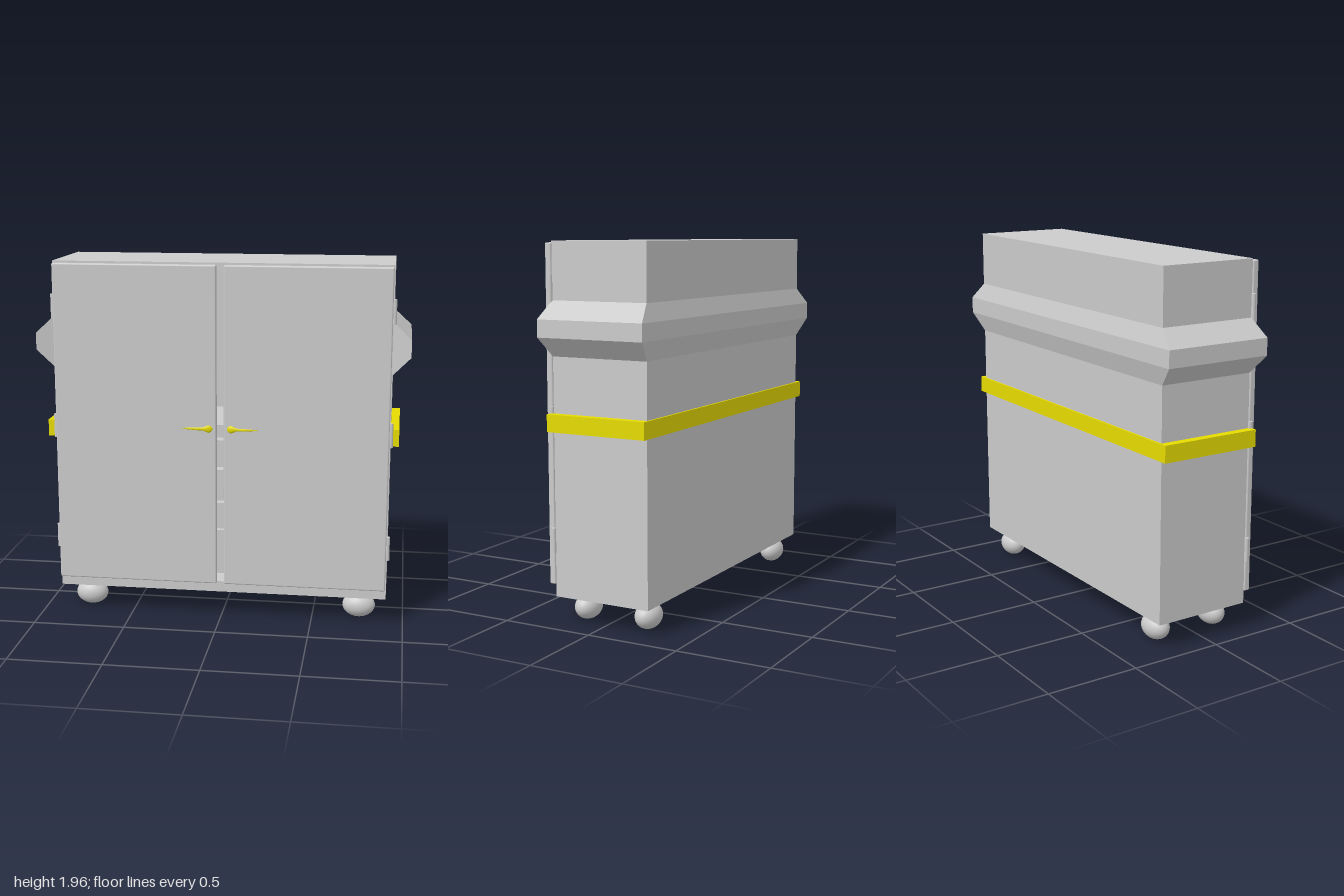
import * as THREE from 'three';
import { RoundedBoxGeometry } from 'three/addons/geometries/RoundedBoxGeometry.js';

const grey = new THREE.MeshStandardMaterial({ color: 0xcccccc });
const thin = new THREE.MeshStandardMaterial({ color: 0xcccccc, side: THREE.DoubleSide });
const yellow = new THREE.MeshStandardMaterial({ color: 0xe6dc00 });

const W = 0.905, BOTTOM = 0.14, TOP = 1.955, BACK = -0.29, FRONT = 0.252;

export function createModel() {
  const model = new THREE.Group();
  const add = (name, geometry, material = grey) => {
    const mesh = new THREE.Mesh(geometry, material);
    mesh.name = name;
    model.add(mesh);
    return mesh;
  };
  // Box given by its lower and upper corners
  const box = (name, x0, x1, y0, y1, z0, z1, material) => {
    const mesh = add(name, new THREE.BoxGeometry(x1 - x0, y1 - y0, z1 - z0), material);
    mesh.position.set((x0 + x1) / 2, (y0 + y1) / 2, (z0 + z1) / 2);
    return mesh;
  };
  const outline = pts => pts.map(([x, y]) => new THREE.Vector2(x, y));
  const rect = (x, y0, y1) => outline([[-x, y0], [x, y0], [x, y1], [-x, y1]]);

  // Hollow case, open at the front
  const frame = new THREE.Shape(rect(W, BOTTOM, TOP));
  frame.holes.push(new THREE.Path(rect(0.87, 0.2, 1.87)));
  const caseGeometry = new THREE.ExtrudeGeometry(frame, { depth: FRONT - BACK, bevelEnabled: false });
  add('case', caseGeometry.translate(0, 0, BACK));
  box('backPanel', -0.87, 0.87, 0.2, 1.87, BACK, -0.26);

  // Bulge running round the sides and back
  add('bulge', bulgeGeometry(), thin);

  // Shelf and drawers behind the doors
  box('shelf', -0.87, 0.87, 1.01, 1.08, -0.26, 0.22);
  [[0.84, 0.99], [0.65, 0.807], [0.49, 0.62], [0.23, 0.465]].forEach(([y0, y1]) =>
    box('drawer', -0.86, 0.86, y0, y1, -0.24, 0.2));
  [0.807, 0.62, 0.465].forEach(y =>
    box('drawerRail', -0.87, 0.87, y + 0.003, y + 0.022, -0.26, 0.22));

  // Trim band, a U shape seen from above
  const band = new THREE.Shape(outline([
    [-0.95, -0.265], [-0.95, 0.3], [0.95, 0.3], [0.95, -0.265],
    [0.9, -0.265], [0.9, 0.285], [-0.9, 0.285], [-0.9, -0.265],
  ]));
  const bandGeometry = new THREE.ExtrudeGeometry(band, { depth: 0.09, bevelEnabled: false });
  add('trimBand', bandGeometry.rotateX(-Math.PI / 2).translate(0, 1.002, 0), yellow);

  for (const s of [-1, 1]) {
    // Doors
    add('door', new RoundedBoxGeometry(0.88, 1.745, 0.035, 3, 0.008))
      .position.set(s * 0.46, 1.073, 0.279);

    // Hinges
    for (const y of [0.435, 1.06, 1.715])
      add('hinge', new THREE.CylinderGeometry(0.0125, 0.0125, 0.13, 16)).position.set(s * 0.906, y, 0.262);

    // Egg-shaped feet
    for (const z of [0.15, -0.21]) {
      const foot = add('foot', new THREE.SphereGeometry(1, 32, 20));
      foot.scale.set(0.09, 0.068, 0.066);
      foot.position.set(s * 0.757, 0.068, z);
    }

    // Handle: a tapering, bowed pull with a knob near the gap
    const handle = new THREE.Group();
    handle.name = 'handle';
    const pull = new THREE.Mesh(handleGeometry(), yellow);
    pull.name = 'handlePull';
    handle.add(pull);
    const stem = new THREE.Mesh(new THREE.CylinderGeometry(0.012, 0.016, 0.02, 16), yellow);
    stem.name = 'handleStem';
    stem.rotation.x = Math.PI / 2;
    stem.position.set(0.06, 0, 0.3);
    handle.add(stem);
    handle.position.y = 1.075;
    if (s < 0) handle.scale.x = -1;
    model.add(handle);
  }
  return model;
}

// Open cross-sections joined upwards: height, half width, back and front depth
function bulgeGeometry() {
  const rings = [
    [1.38, W, BACK, FRONT], [1.48, 1, -0.32, 0.28],
    [1.57, 1, -0.32, 0.28], [1.66, W, BACK, FRONT],
  ].map(([y, x, b, f]) => [
    [W, y, FRONT], [x, y, f], [x, y, b], [-x, y, b], [-x, y, f], [-W, y, FRONT],
  ]);
  const positions = [];
  for (let i = 0; i < 3; i++) {
    for (let j = 0; j < 5; j++) {
      const a = rings[i][j], b = rings[i][j + 1], c = rings[i + 1][j + 1], d = rings[i + 1][j];
      positions.push(...a, ...b, ...c, ...a, ...c, ...d);
    }
  }
  const geometry = new THREE.BufferGeometry();
  geometry.setAttribute('position', new THREE.Float32BufferAttribute(positions, 3));
  geometry.computeVertexNormals();
  return geometry;
}

// Lathe laid along x, flattened in depth and bowed outwards
function handleGeometry() {
  const profile = [[0, 0], [0.014, 0.007], [0.021, 0.022], [0.015, 0.038], [0.008, 0.052],
    [0.007, 0.09], [0.005, 0.13], [0, 0.177]].map(([r, l]) => new THREE.Vector2(r, l));
  const geometry = new THREE.LatheGeometry(profile, 20).rotateZ(-Math.PI / 2);
  const p = geometry.attributes.position;
  for (let i = 0; i < p.count; i++) {
    const x = p.getX(i);
    p.setXYZ(i, x + 0.038, p.getY(i), p.getZ(i) * 0.45 + 0.3 + 0.01 * Math.sin(Math.PI * x / 0.177));
  }
  geometry.computeVertexNormals();
  return geometry;
}
